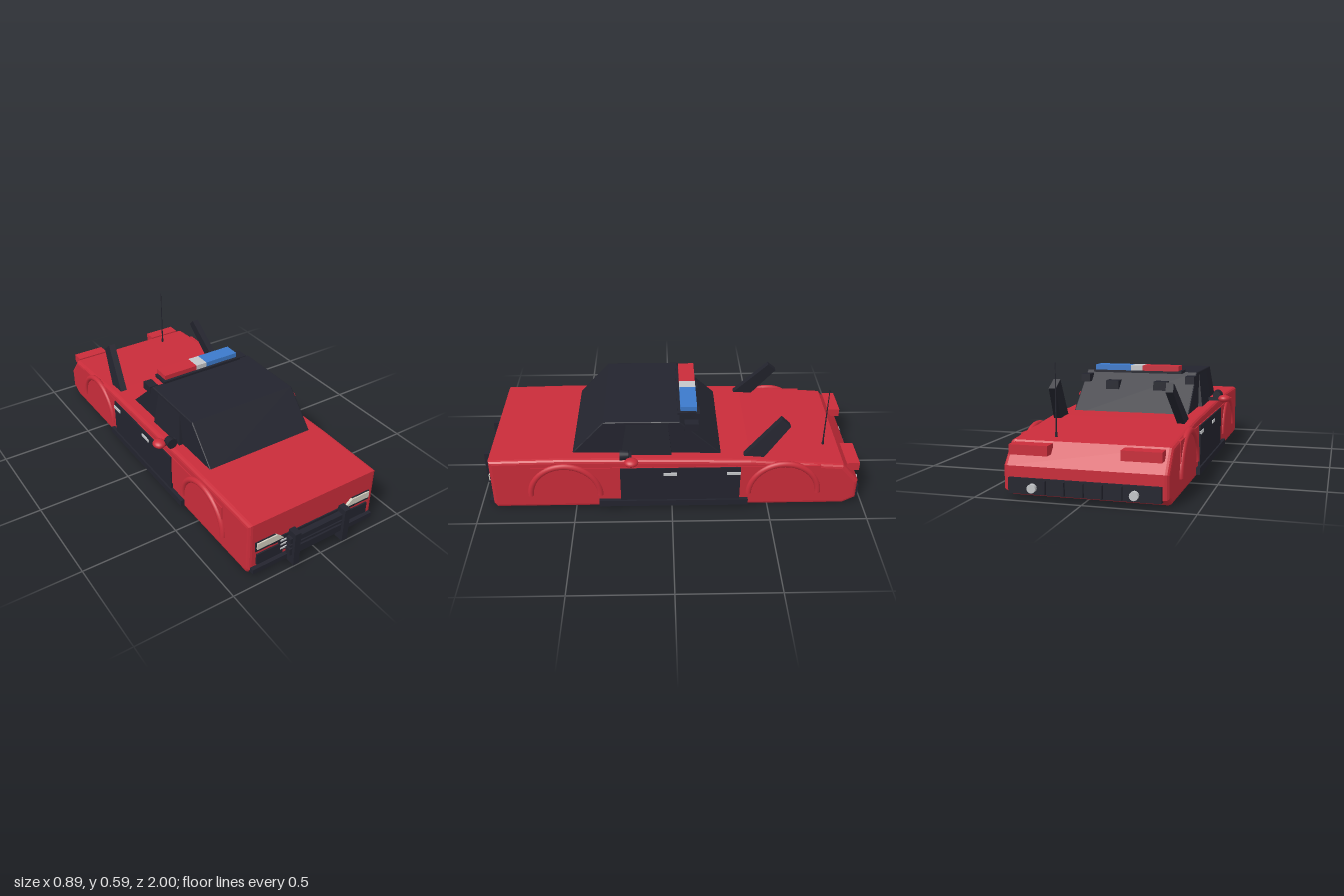
import * as THREE from 'three';

const mat = (name, color) => {
  const m = new THREE.MeshStandardMaterial({ color });
  m.name = name;
  return m;
};

export function createModel() {
  const car = new THREE.Group();
  car.name = 'patrolCar';
  const red = mat('red paint', 0xc92c3a);
  const dark = mat('dark trim', 0x23242e);
  const blue = mat('blue lamp', 0x3c7acb);
  const grey = mat('light grey', 0xc4c6c9);
  const cream = mat('headlight cream', 0xcfcbbd);

  const add = (name, geo, material) => {
    const mesh = new THREE.Mesh(geo, material);
    mesh.name = name;
    car.add(mesh);
    return mesh;
  };
  // Box from its min and max on each axis
  const box = (name, m, x0, x1, y0, y1, z0, z1) => {
    const b = add(name, new THREE.BoxGeometry(Math.abs(x1 - x0), y1 - y0, z1 - z0), m);
    b.position.set((x0 + x1) / 2, (y0 + y1) / 2, (z0 + z1) / 2);
    return b;
  };
  // Side profile of (z, y) points extruded across x
  const profile = (pts, width, bevel) => {
    const shape = new THREE.Shape(pts.map(([z, y]) => new THREE.Vector2(z, y)));
    const geo = new THREE.ExtrudeGeometry(shape, {
      depth: width - 2 * bevel, bevelEnabled: bevel > 0, bevelSize: bevel,
      bevelThickness: bevel, bevelOffset: -bevel, bevelSegments: 3
    });
    geo.translate(0, 0, -(width - 2 * bevel) / 2);
    return geo.rotateY(-Math.PI / 2);
  };
  const warp = (geo, rule) => {
    const p = geo.attributes.position, v = new THREE.Vector3();
    for (let i = 0; i < p.count; i++) {
      v.fromBufferAttribute(p, i);
      rule(v);
      p.setXYZ(i, v.x, v.y, v.z);
    }
    geo.computeVertexNormals();
    return geo;
  };

  // Hull and cabin
  add('body', profile([
    [-0.9, 0.004], [0.915, 0.004], [0.932, 0.03], [0.932, 0.297], [0.55, 0.305], [0.25, 0.302],
    [-0.4, 0.288], [-0.88, 0.25], [-0.965, 0.15], [-0.965, 0.04]
  ], 0.75, 0.02), red);
  add('cabin', profile([
    [0.525, 0.285], [0.345, 0.484], [-0.04, 0.484], [-0.275, 0.27]
  ], 0.61, 0.006), dark);

  // Light bar
  box('lightBarBase', dark, -0.24, 0.24, 0.482, 0.497, -0.125, -0.03);
  box('redLamp', red, -0.225, -0.031, 0.495, 0.522, -0.13, -0.045);
  box('centreLamp', grey, -0.031, 0.031, 0.495, 0.522, -0.13, -0.045);
  box('blueLamp', blue, 0.031, 0.225, 0.495, 0.522, -0.13, -0.045);

  for (const s of [-1, 1]) {
    // Side windows bulging out at the bottom
    const win = warp(profile([[0.26, 0.29], [0.23, 0.47], [0.02, 0.47], [0, 0.29]], 0.1, 0), v => {
      v.x = s * 0.28 + v.x * (v.y < 0.4 ? 0.95 : 0.5);
    });
    add('sideWindow', win, dark);

    // Body side panels, doors and sills
    box('sidePanel', red, s * 0.36, s * 0.379, 0.09, 0.257, -0.76, 0.72);
    box('door', dark, s * 0.36, s * 0.386, 0.02, 0.255, -0.35, 0.265);
    box('sill', dark, s * 0.35, s * 0.395, 0.02, 0.055, -0.395, 0.378);
    for (const z of [0.01, -0.315]) {
      box('doorHandle', grey, s * 0.38, s * 0.391, 0.213, 0.229, z - 0.035, z + 0.035);
    }

    // Wheel arches
    for (const z of [0.55, -0.576]) {
      const arch = add('wheelArch', new THREE.TorusGeometry(0.18, 0.016, 10, 32, Math.PI), red);
      arch.rotation.y = Math.PI / 2;
      arch.position.set(s * 0.376, 0.088, z);
    }

    // Door mirrors and spotlights
    const mirror = add('mirror', new THREE.SphereGeometry(1, 20, 14), red);
    mirror.scale.set(0.033, 0.021, 0.036);
    mirror.position.set(s * 0.412, 0.316, 0.205);
    box('mirrorStalk', dark, s * 0.32, s * 0.4, 0.303, 0.32, 0.205, 0.225);
    const spot = add('spotlight', new THREE.CylinderGeometry(0.028, 0.022, 0.045, 20), dark);
    spot.rotation.x = Math.PI / 2;
    spot.position.set(s * 0.368, 0.331, 0.24);

    // Leaning rear struts
    const strut = warp(profile([
      [-0.36, 0.28], [-0.47, 0.28], [-0.6, 0.447], [-0.555, 0.487]
    ], 0.036, 0), v => { v.x += s * (0.313 - 0.17 * (v.y - 0.29)); });
    add('rearStrut', strut, dark);

    // Rear window lamps
    box('rearWindowLamp', dark, s * 0.095, s * 0.165, 0.395, 0.44, -0.15, -0.08);
    box('roofCornerLamp', dark, s * 0.26, s * 0.308, 0.43, 0.47, -0.135, -0.065);

    // Tail
    box('tailLamp', red, s * 0.165, s * 0.345, 0.2, 0.245, -0.968, -0.9);
    const lamp = add('reverseLamp', new THREE.CylinderGeometry(0.02, 0.02, 0.03, 16), grey);
    lamp.rotation.x = Math.PI / 2;
    lamp.position.set(s * 0.23, 0.06, -0.985);

    // Headlights with their dark surrounds
    box('headlightSurround', dark, s * 0.23, s * 0.34, 0.135, 0.19, 0.92, 0.938);
    box('headlightLower', dark, s * 0.2, s * 0.25, 0.132, 0.155, 0.92, 0.938);
    const lens = new THREE.Shape([[0.185, 0.153], [0.335, 0.153], [0.335, 0.187], [0.225, 0.187]]
      .map(([x, y]) => new THREE.Vector2(s * x, y)));
    const light = add('headlight', new THREE.ExtrudeGeometry(lens, { depth: 0.02, bevelEnabled: false }), cream);
    light.position.z = 0.925;
    box('lowerIntake', dark, s * 0.185, s * 0.333, 0.055, 0.116, 0.92, 0.94);
    box('guardUpright', dark, s * 0.131, s * 0.165, 0.01, 0.198, 0.95, 1);
  }

  // Grille and push bar
  box('grille', dark, -0.207, 0.207, 0.068, 0.16, 0.92, 0.938);
  for (const y of [0.134, 0.111, 0.086]) {
    box('grilleStrip', grey, -0.2, 0.2, y - 0.004, y + 0.004, 0.93, 0.943);
  }
  for (const [y0, y1] of [[0.138, 0.167], [0.117, 0.129], [0.066, 0.105]]) {
    box('guardBar', dark, -0.18, 0.18, y0, y1, 0.955, 0.985);
  }
  box('frontBumper', dark, -0.362, 0.362, 0.02, 0.046, 0.91, 0.953);

  // Rear bumper with ribs
  box('rearBumper', dark, -0.345, 0.345, 0.03, 0.1, -0.98, -0.94);
  for (let i = -2; i <= 2; i++) {
    box('bumperRib', dark, i * 0.086 - 0.005, i * 0.086 + 0.005, 0.035, 0.095, -0.997, -0.97);
  }

  // Antenna
  const mast = add('antenna', new THREE.CylinderGeometry(0.002, 0.004, 0.34, 8), dark);
  mast.position.set(0.187, 0.42, -0.803);
  const foot = add('antennaFoot', new THREE.CylinderGeometry(0.005, 0.007, 0.03, 10), dark);
  foot.position.set(0.187, 0.262, -0.803);

  return car;
}
